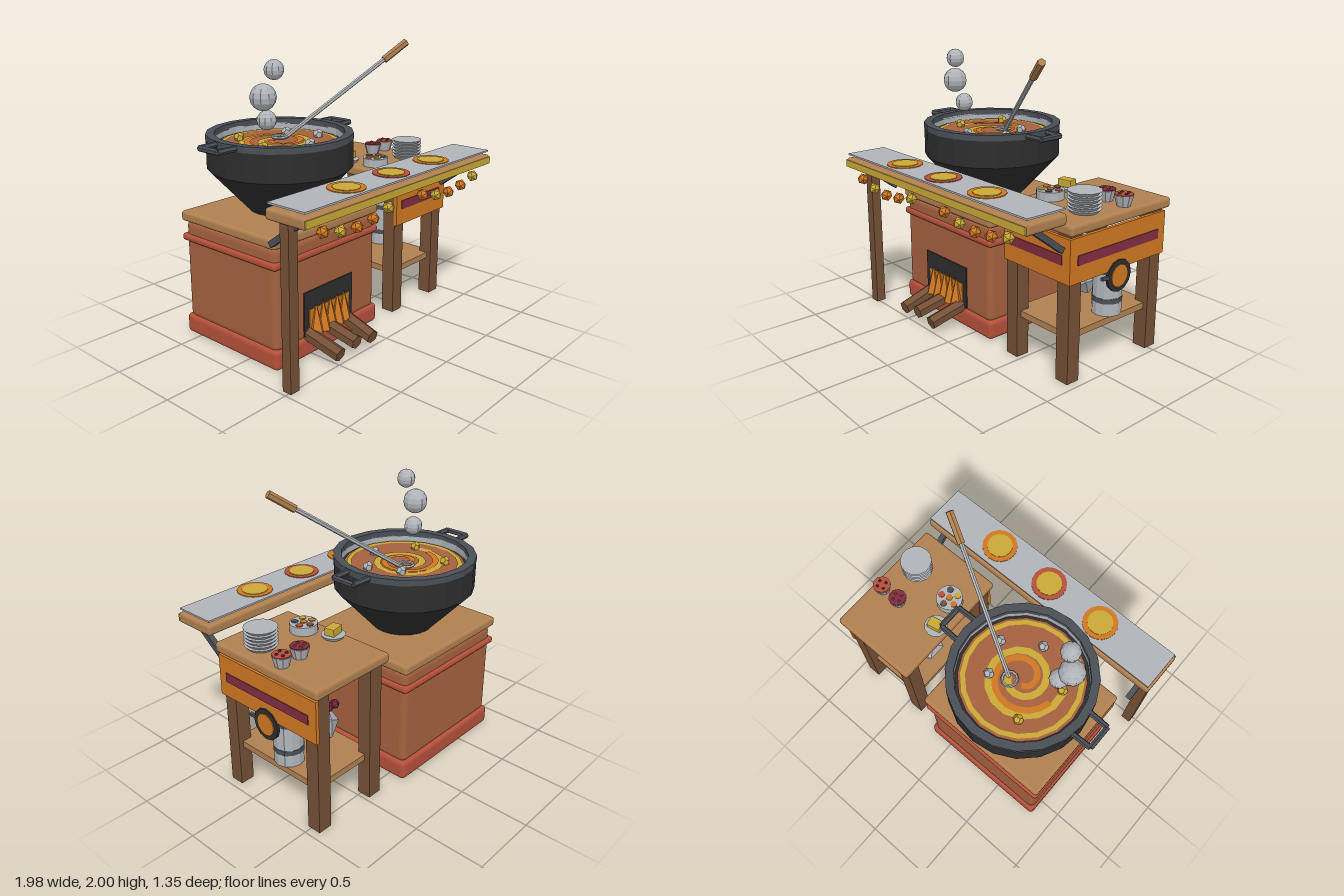
import * as THREE from 'three';
import { RoundedBoxGeometry } from 'three/addons/geometries/RoundedBoxGeometry.js';

const mat = (name, color) => {
  const m = new THREE.MeshStandardMaterial({ color, flatShading: true });
  m.name = name;
  return m;
};

export function createModel() {
  const clay = mat('clay', 0xa5613f), brick = mat('brick red', 0xb5503a);
  const wood = mat('light wood', 0xb08050), darkWood = mat('dark wood', 0x755036);
  const black = mat('black iron', 0x2d2d2d), iron = mat('grey iron', 0x4a4f57);
  const steel = mat('steel', 0xb0b4b9), orange = mat('orange', 0xcf7822);
  const yellow = mat('yellow', 0xc9a836), maroon = mat('maroon', 0x802c40);

  const model = new THREE.Group();
  const group = (name, x = 0, y = 0, z = 0) => {
    const g = new THREE.Group();
    g.name = name;
    g.position.set(x, y, z);
    model.add(g);
    return g;
  };
  const add = (parent, name, geo, material, x = 0, y = 0, z = 0) => {
    const m = new THREE.Mesh(geo, material);
    m.name = name;
    m.position.set(x, y, z);
    parent.add(m);
    return m;
  };
  // Box given by its limits, with an optional bevel
  const box = (parent, name, material, x0, x1, y0, y1, z0, z1, bevel = 0) => {
    const s = [x1 - x0, y1 - y0, z1 - z0];
    const geo = bevel ? new RoundedBoxGeometry(...s, 2, bevel) : new THREE.BoxGeometry(...s);
    return add(parent, name, geo, material, (x0 + x1) / 2, (y0 + y1) / 2, (z0 + z1) / 2);
  };
  const cyl = (parent, name, material, rTop, rBottom, h, sides, x, y, z) =>
    add(parent, name, new THREE.CylinderGeometry(rTop, rBottom, h, sides), material, x, y, z);
  // Rod between two points
  const rod = (parent, name, material, a, b, r0, r1, sides) => {
    const p = new THREE.Vector3(...a), q = new THREE.Vector3(...b);
    const d = q.clone().sub(p);
    const m = cyl(parent, name, material, r1, r0, d.length(), sides, ...p.clone().add(q).multiplyScalar(0.5).toArray());
    m.quaternion.setFromUnitVectors(new THREE.Vector3(0, 1, 0), d.normalize());
    return m;
  };
  const lathe = (pts, sides) => new THREE.LatheGeometry(pts.map(p => new THREE.Vector2(...p)), sides);

  // Stove
  const stove = group('stove');
  box(stove, 'stoveBase', brick, -0.84, 0.18, 0, 0.14, -0.63, 0.27, 0.03);
  box(stove, 'stoveBody', clay, -0.825, 0.16, 0.12, 0.835, -0.61, 0.255, 0.04);
  box(stove, 'stoveBand', brick, -0.845, 0.18, 0.69, 0.74, -0.63, 0.27, 0.02);
  box(stove, 'stoveBoard', wood, -0.845, 0.18, 0.83, 0.9, -0.63, 0.27, 0.02);
  box(stove, 'fireOpening', black, -0.575, -0.095, 0.15, 0.46, 0.25, 0.263);
  box(stove, 'emberGlow', orange, -0.53, -0.135, 0.15, 0.33, 0.26, 0.269);
  for (let i = 0; i < 5; i++)
    add(stove, 'flame', new THREE.ConeGeometry(0.06, 0.21, 5), orange, -0.475 + i * 0.07, 0.26, 0.275);
  [-0.51, -0.345, -0.18].forEach((x, i) =>
    rod(stove, 'log', darkWood, [x, i === 1 ? 0.11 : 0.085, 0.52], [x + (i - 1) * 0.02, 0.17, 0.2], 0.05, 0.05, 6));

  // Cauldron
  const pot = group('cauldron', -0.33, 0, -0.18);
  add(pot, 'potBody', lathe([[0, 0.9], [0.22, 0.9], [0.485, 1.19], [0.495, 1.2], [0.495, 1.395]], 20), black);
  add(pot, 'potRim', lathe([[0.44, 1.39], [0.497, 1.39], [0.497, 1.432], [0.44, 1.432], [0.44, 1.39]], 20), iron);
  add(pot, 'potInnerWall', lathe([[0.44, 1.4], [0.44, 1.345]], 20), steel);
  cyl(pot, 'potInnerFloor', black, 0.44, 0.44, 0.01, 20, 0, 1.345, 0);
  cyl(pot, 'soup', clay, 0.42, 0.42, 0.02, 20, 0, 1.35, 0);
  add(pot, 'soupRing', new THREE.RingGeometry(0.37, 0.402, 20).rotateX(-Math.PI / 2), yellow, 0, 1.364, 0);
  for (const s of [-1, 1]) {
    const pts = [[0.48, -0.09], [0.62, -0.085], [0.62, 0.085], [0.48, 0.09]].map(p => [s * p[0], 1.41, p[1]]);
    for (let i = 0; i < 3; i++) rod(pot, 'potHandle', iron, pts[i], pts[i + 1], 0.02, 0.02, 6);
  }

  // Flat spiral swirls on the soup
  const swirl = (material, y, t0, t1, r0, r1, width) => {
    const pos = [], idx = [], n = 22;
    for (let i = 0; i <= n; i++) {
      const t = t0 + (t1 - t0) * i / n, r = r0 + (r1 - r0) * i / n;
      for (const k of [r - width / 2, r + width / 2]) pos.push(k * Math.cos(t), y, k * Math.sin(t));
      if (i < n) idx.push(2 * i, 2 * i + 2, 2 * i + 1, 2 * i + 1, 2 * i + 2, 2 * i + 3);
    }
    const g = new THREE.BufferGeometry();
    g.setAttribute('position', new THREE.Float32BufferAttribute(pos, 3));
    g.setIndex(idx);
    g.computeVertexNormals();
    add(pot, 'soupSwirl', g, material);
  };
  swirl(yellow, 1.364, 2.8, 12, 0.28, 0.09, 0.048);
  swirl(orange, 1.368, 3.2, 10.4, 0.24, 0.05, 0.042);
  for (const [x, z, m] of [[-0.49, -0.41, yellow], [-0.15, -0.3, steel], [-0.06, -0.08, steel], [-0.3, 0.07, steel], [-0.58, -0.08, yellow]])
    add(pot, 'soupChunk', new THREE.DodecahedronGeometry(0.036), m, x + 0.33, 1.38, z + 0.18);

  // Ladle
  const ladle = group('ladle');
  rod(ladle, 'ladleRod', steel, [-0.27, 1.345, -0.235], [0.43, 1.87, 0.115], 0.016, 0.016, 6);
  rod(ladle, 'ladleGrip', wood, [0.42, 1.86, 0.11], [0.575, 1.977, 0.185], 0.027, 0.027, 6);
  add(ladle, 'ladleBowl', new THREE.TorusGeometry(0.05, 0.01, 5, 10).rotateX(Math.PI / 2), steel, -0.275, 1.375, -0.24);

  // Steam puffs
  const steam = group('steam');
  for (const [x, y, z, r] of [[-0.54, 1.88, -0.01, 0.065], [-0.6, 1.71, -0.05, 0.087], [-0.54, 1.55, -0.085, 0.065]])
    add(steam, 'steamPuff', new THREE.SphereGeometry(r, 10, 8), steel, x, y, z);

  // Serving counter
  const counter = group('counter');
  box(counter, 'counterPlank', wood, -0.99, 0.985, 1.09, 1.165, 0.345, 0.668, 0.02);
  box(counter, 'counterTrim', yellow, -0.985, 0.98, 1.1, 1.15, 0.664, 0.672);
  box(counter, 'counterSheet', steel, -0.975, 0.975, 1.185, 1.197, 0.355, 0.655);
  box(counter, 'counterLeg', darkWood, -0.97, -0.895, 0, 1.1, 0.45, 0.52);
  [-0.45, 0, 0.45].forEach((x, i) => {
    cyl(counter, 'placeMat', i === 1 ? brick : orange, 0.125, 0.125, 0.006, 16, x, 1.199, 0.51);
    cyl(counter, 'placeMatCentre', yellow, 0.09, 0.09, 0.006, 16, x, 1.203, 0.51);
  });
  for (const x of [-0.9, 0.9]) {
    const brace = add(counter, 'counterBrace', new THREE.BoxGeometry(0.04, 0.04, 0.32), iron, x, 1.0, 0.435);
    brace.rotation.x = -Math.atan2(0.19, 0.25);
  }
  for (const x0 of [-0.81, 0.18])
    [1.035, 1.0, 0.985, 1.0, 1.035].forEach((y, i) =>
      add(counter, 'garlandBead', new THREE.IcosahedronGeometry(0.042), i === 1 || i === 4 ? yellow : orange, x0 + i * 0.155, y, 0.64));

  // Side table
  const table = group('sideTable');
  box(table, 'tableTop', wood, 0.335, 0.982, 1.0, 1.07, -0.615, 0.305, 0.02);
  box(table, 'tableShelf', wood, 0.4, 0.91, 0.285, 0.33, -0.53, 0.24);
  for (const x of [0.365, 0.84])
    for (const z of [-0.575, 0.175]) box(table, 'tableLeg', darkWood, x, x + 0.105, 0, 1.01, z, z + 0.1);
  box(table, 'frontApron', orange, 0.362, 0.963, 0.685, 0.98, 0.27, 0.295);
  box(table, 'sideApron', orange, 0.938, 0.963, 0.685, 0.98, -0.585, 0.295);
  box(table, 'frontStripe', maroon, 0.42, 0.895, 0.8, 0.865, 0.293, 0.3);
  box(table, 'sideStripe', maroon, 0.96, 0.968, 0.8, 0.865, -0.52, 0.23);

  // Round gong on the side of the table
  const gong = group('gong', 0.963, 0.64, -0.145);
  cyl(gong, 'gongRim', black, 0.11, 0.11, 0.02, 12, 0, 0, 0).rotation.z = -Math.PI / 2;
  cyl(gong, 'gongFace', orange, 0.077, 0.077, 0.008, 12, 0.012, 0, 0).rotation.z = -Math.PI / 2;
  box(gong, 'gongHook', iron, -0.01, 0.01, 0, 0.02, 0.1, 0.155);

  // Things on the shelf
  const shelf = group('shelfGoods');
  cyl(shelf, 'canister', steel, 0.1, 0.1, 0.36, 12, 0.83, 0.51, -0.195);
  for (const y of [0.435, 0.64]) cyl(shelf, 'canisterBand', iron, 0.103, 0.103, 0.035, 12, 0.83, y, -0.195);
  add(shelf, 'sack', new THREE.IcosahedronGeometry(0.13), steel, 0.57, 0.49, -0.22);
  for (let i = 0; i < 3; i++)
    add(shelf, 'berry', new THREE.IcosahedronGeometry(0.035), maroon, 0.49 + i * 0.055, 0.625, -0.28);

  // Tableware
  const ware = group('tableware');
  for (let i = 0; i < 6; i++) cyl(ware, 'plate', steel, 0.112, 0.09, 0.023, 14, 0.82, 1.082 + i * 0.0235, 0.035);
  for (const [x, fill, bit] of [[0.75, maroon, brick], [0.9, brick, maroon]]) {
    cyl(ware, 'bowl', steel, 0.066, 0.045, 0.075, 10, x, 1.107, -0.24);
    cyl(ware, 'bowlFilling', fill, 0.062, 0.062, 0.008, 10, x, 1.147, -0.24);
    for (let i = 0; i < 4; i++)
      add(ware, 'bowlMorsel', new THREE.IcosahedronGeometry(0.012), bit, x + 0.032 * Math.cos(i * 1.6 + 0.4), 1.152, -0.24 + 0.032 * Math.sin(i * 1.6 + 0.4));
  }
  cyl(ware, 'spiceTin', steel, 0.095, 0.095, 0.06, 14, 0.48, 1.1, 0);
  [brick, iron, yellow, orange, darkWood].forEach((m, i) => {
    const t = -0.3 + i * Math.PI * 0.4;
    cyl(ware, 'spice', m, 0.024, 0.024, 0.008, 8, 0.48 + 0.06 * Math.cos(t), 1.132, 0.06 * Math.sin(t));
  });
  cyl(ware, 'spice', orange, 0.024, 0.024, 0.008, 8, 0.48, 1.132, 0);
  cyl(ware, 'butterDish', steel, 0.083, 0.065, 0.025, 12, 0.42, 1.082, -0.21);
  const butter = add(ware, 'butter', new RoundedBoxGeometry(0.105, 0.055, 0.075, 1, 0.008), yellow, 0.42, 1.122, -0.21);
  butter.rotation.y = 0.2;

  return model;
}
